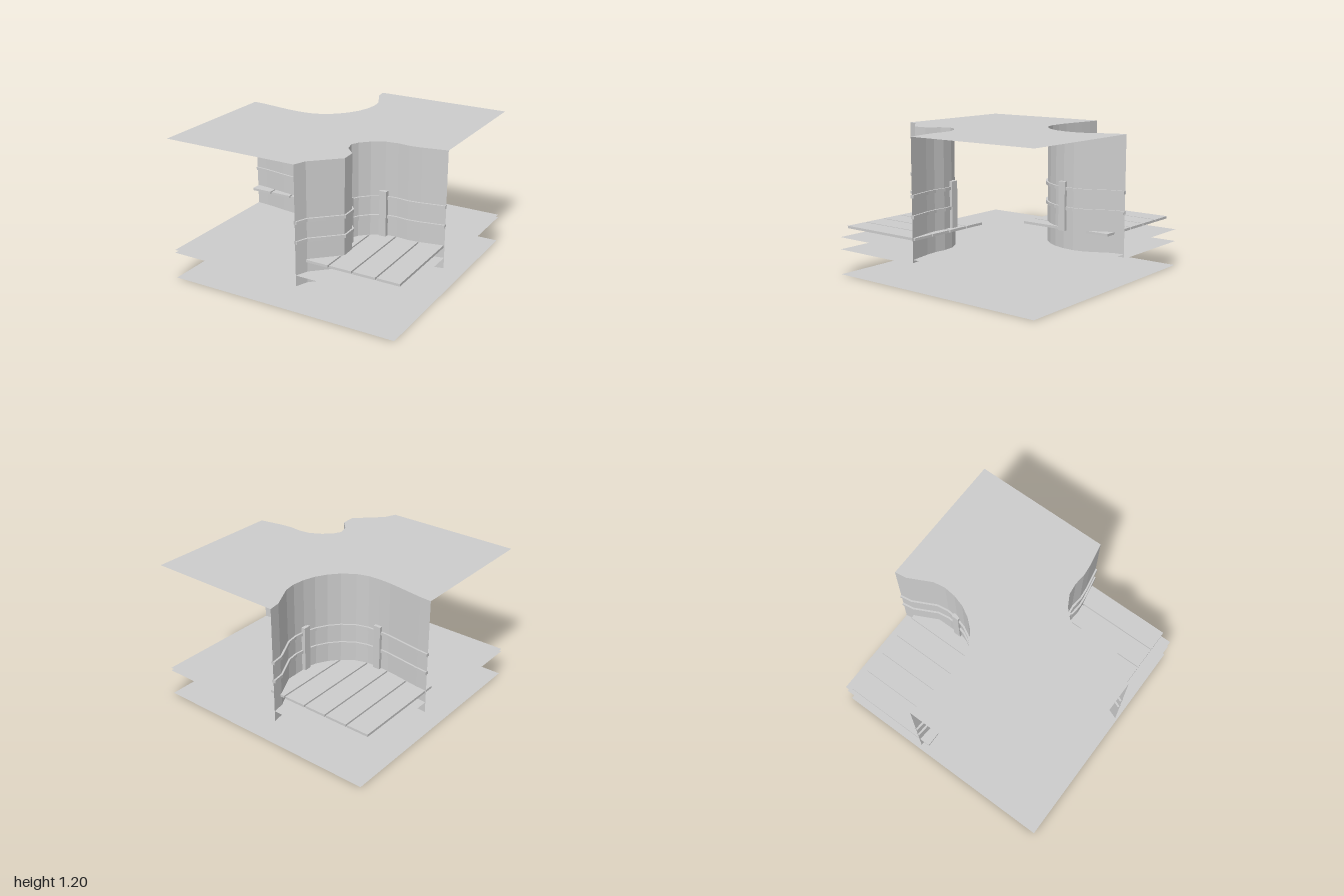
import * as THREE from 'three';

const stone = new THREE.MeshStandardMaterial({ color: 0xcccccc, side: THREE.DoubleSide });
stone.name = 'light grey';

// plan curves [x, z] of the two corner recesses
const backCurve = [[-1, -0.18], [-0.9, -0.172], [-0.8, -0.158], [-0.7, -0.143], [-0.6, -0.13], [-0.5, -0.125],
  [-0.4, -0.13], [-0.3, -0.16], [-0.2, -0.23], [-0.13, -0.31], [-0.08, -0.4], [-0.05, -0.5], [-0.04, -0.6],
  [-0.055, -0.7], [-0.105, -0.8], [-0.155, -0.9], [-0.17, -1]];
const frontCurve = [[1, 0.165], [0.8, 0.203], [0.7, 0.213], [0.6, 0.203], [0.5, 0.215], [0.4, 0.27], [0.33, 0.34],
  [0.3, 0.4], [0.325, 0.49], [0.41, 0.58], [0.415, 0.7], [0.31, 0.8], [0.205, 0.9], [0.165, 1]];

const planShape = pts => new THREE.Shape(pts.map(([x, z]) => new THREE.Vector2(x, -z)));

export function createModel() {
  const group = new THREE.Group();

  function add(name, geometry, y = 0, x = 0, z = 0) {
    const mesh = new THREE.Mesh(geometry, stone);
    mesh.name = name;
    mesh.position.set(x, y, z);
    group.add(mesh);
  }

  // flat sheet with a plan outline
  function sheet(name, pts, y) {
    add(name, new THREE.ShapeGeometry(planShape(pts)).rotateX(-Math.PI / 2), y);
  }

  // vertical faceted wall that follows a plan curve
  function wall(name, curve, y0, y1) {
    const pos = [];
    for (let i = 0; i < curve.length - 1; i++) {
      const [ax, az] = curve[i], [bx, bz] = curve[i + 1];
      pos.push(ax, y0, az, bx, y0, bz, bx, y1, bz, ax, y0, az, bx, y1, bz, ax, y1, az);
    }
    const g = new THREE.BufferGeometry();
    g.setAttribute('position', new THREE.Float32BufferAttribute(pos, 3));
    g.computeVertexNormals();
    add(name, g);
  }

  // curve moved sideways, kept inside the square
  function offset(curve, d) {
    const clamp = v => Math.max(-1, Math.min(1, v));
    return curve.map(([x, z], i) => {
      const a = curve[Math.max(0, i - 1)], b = curve[Math.min(curve.length - 1, i + 1)];
      const dx = b[0] - a[0], dz = b[1] - a[1], l = Math.hypot(dx, dz);
      return [clamp(x - dz / l * d), clamp(z + dx / l * d)];
    });
  }

  // rail bar swept along the wall
  function rail(name, curve, y, h) {
    const outline = [...offset(curve, 0.016), ...offset(curve, -0.016).reverse()];
    const g = new THREE.ExtrudeGeometry(planShape(outline), { depth: h, bevelEnabled: false });
    add(name, g.rotateX(-Math.PI / 2), y);
  }

  // ground, floor and ceiling sheets
  const square = [[-1, -1], [-1, 1], [1, 1], [1, -1]];
  const cutSquare = [[-1, 1], ...[...frontCurve].reverse(), [1, -1], ...[...backCurve].reverse()];
  sheet('ground', square, 0);
  sheet('lowerFloor', cutSquare, 0.225);
  sheet('upperFloor', cutSquare, 0.25);
  sheet('topPlate', cutSquare, 1.2);

  // recesses: wall, basin sheets, rails and posts
  const corners = [
    { name: 'back', curve: backCurve, corner: [-1, -1], posts: [[-0.5, -0.123], [-0.05, -0.5]] },
    { name: 'front', curve: frontCurve, corner: [1, 1], posts: [[0.495, 0.217], [0.325, 0.495]] },
  ];
  for (const { name, curve, corner, posts } of corners) {
    wall(name + 'Wall', curve, 0.225, 1.2);
    for (const y of [0.212, 0.315]) sheet(name + 'Basin', [...curve, corner], y);
    for (const y of [0.57, 0.73]) rail(name + 'Rail', curve, y, 0.026);
    for (const [x, z] of posts) add(name + 'Post', new THREE.BoxGeometry(0.062, 0.4, 0.062), 0.6, x, z);
  }

  // deck planks
  function plank(name, x0, x1, z0, z1) {
    add(name, new THREE.BoxGeometry(x1 - x0, 0.02, z1 - z0), 0.41, (x0 + x1) / 2, (z0 + z1) / 2);
  }
  for (let i = 0; i < 5; i++) {
    const x = -0.993 + i * 0.2;
    plank('backPlank', x, i === 4 ? -0.06 : x + 0.187, -0.915, -0.09);
  }
  for (let i = 0; i < 4; i++) plank('frontPlank', 0.205 + i * 0.2, 0.392 + i * 0.2, 0.15, 0.915);

  return group;
}
